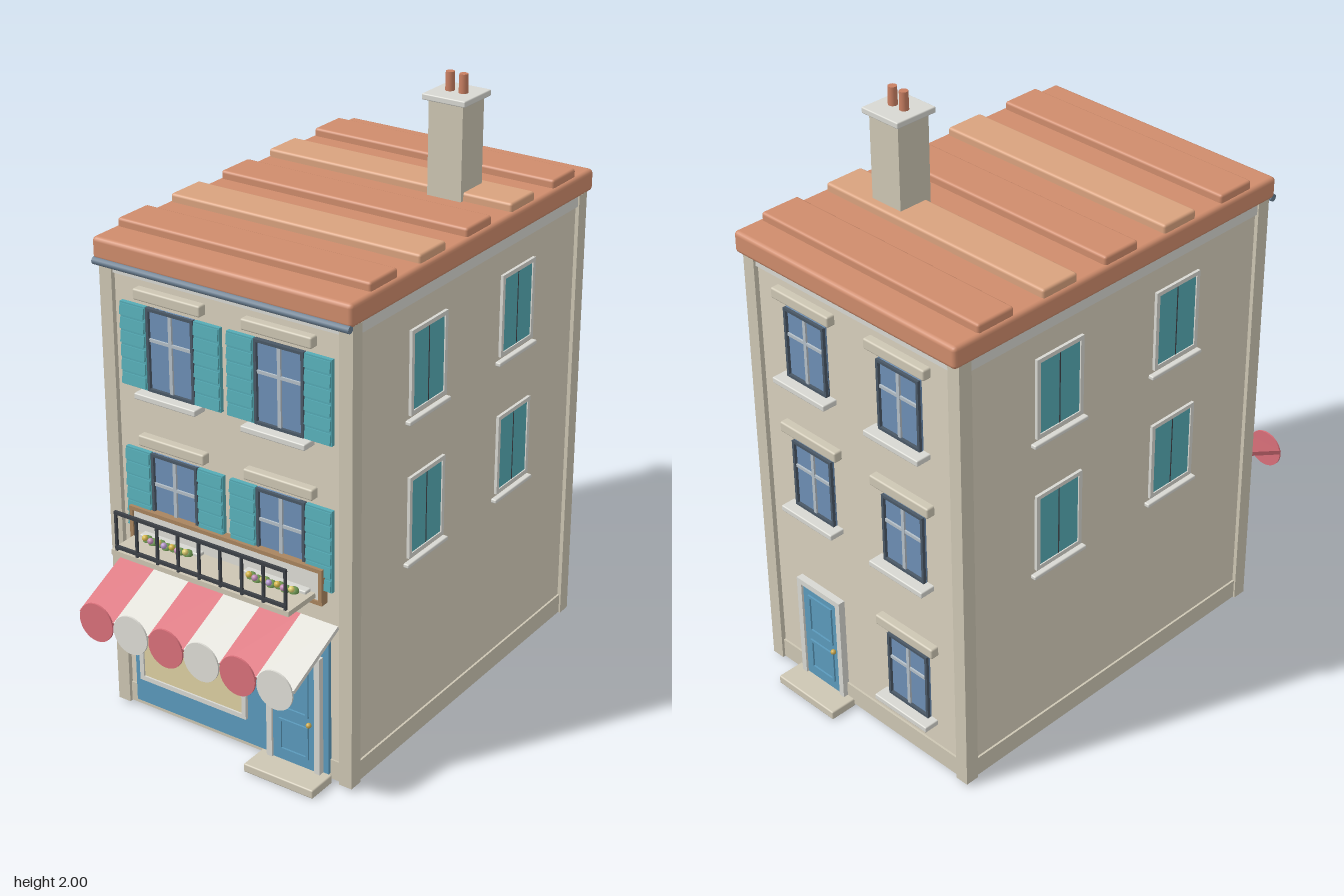
import * as THREE from 'three';
import { RoundedBoxGeometry } from 'three/addons/geometries/RoundedBoxGeometry.js';

const mats = {};
const paint = (hex) => (mats[hex] ??= new THREE.MeshStandardMaterial({ color: hex }));

const WALL = 0xd8d0bd, STONE = 0xcdc6b3, TRIM = 0xd8d8d2, TEAL = 0x55abb5, GLASS = 0x6d8fb5,
  SLATE = 0x4a5866, BLUE = 0x5b9abc, CREAM = 0xddd0a2, ROOF = 0xcf8c6c, TILE = 0xd9a27e,
  RED = 0xd9707a, WHITE = 0xdeddd6, WOOD = 0xa9855f, IRON = 0x3c4046, GREEN = 0x6f9a52;

function add(parent, name, geometry, color, x = 0, y = 0, z = 0) {
  const m = new THREE.Mesh(geometry, paint(color));
  m.name = name;
  m.position.set(x, y, z);
  parent.add(m);
  return m;
}

// Box given by its minimum and maximum on each axis; r rounds its edges
function box(parent, name, color, [x0, x1], [y0, y1], [z0, z1], r = 0) {
  const s = [x1 - x0, y1 - y0, z1 - z0];
  const g = r ? new RoundedBoxGeometry(...s, 2, r) : new THREE.BoxGeometry(...s);
  return add(parent, name, g, color, (x0 + x1) / 2, (y0 + y1) / 2, (z0 + z1) / 2);
}

function group(parent, name, x = 0, y = 0, z = 0, turn = 0) {
  const g = new THREE.Group();
  g.name = name;
  g.position.set(x, y, z);
  g.rotation.y = turn;
  parent.add(g);
  return g;
}

// Four bars around a w x h opening, standing on y = 0
function frame(parent, name, color, w, h, t, depth) {
  for (const s of [-1, 1]) {
    const a = s * w / 2, b = s * (w / 2 - t);
    box(parent, name, color, [Math.min(a, b), Math.max(a, b)], [0, h], [0, depth]);
  }
  box(parent, name, color, [-w / 2 + t, w / 2 - t], [0, t], [0, depth]);
  box(parent, name, color, [-w / 2 + t, w / 2 - t], [h - t, h], [0, depth]);
}

// Paned window with sill and lintel
function paneWindow(wall, x, y, h, sillOut) {
  const w = 0.175, g = group(wall, 'window', x, y);
  box(g, 'glass', GLASS, [-w / 2, w / 2], [0, h], [-0.01, 0.006]);
  frame(g, 'windowFrame', SLATE, w, h, 0.009, 0.016);
  box(g, 'mullion', 0xb4bfc8, [-0.006, 0.006], [0.009, h - 0.009], [0, 0.013]);
  box(g, 'transom', 0xb4bfc8, [-w / 2 + 0.009, w / 2 - 0.009], [h * 0.6, h * 0.6 + 0.01], [0, 0.012]);
  box(g, 'sill', TRIM, [-0.115, 0.115], [-0.02, 0], [-0.01, sillOut], 0.004);
  box(g, 'lintel', STONE, [-0.125, 0.125], [h + 0.022, h + 0.058], [-0.01, 0.028], 0.006);
  return g;
}

// Open louvred shutter
function shutter(parent, x, h) {
  const g = group(parent, 'shutter', x);
  box(g, 'shutterBoard', TEAL, [-0.047, 0.047], [0, h], [0, 0.014]);
  const n = 6, step = h / n;
  for (let i = 0; i < n; i++) {
    const slat = box(g, 'slat', TEAL, [-0.045, 0.045], [i * step + 0.005, (i + 1) * step - 0.005], [0.012, 0.02]);
    slat.rotation.x = -0.12;
  }
}

// Closed pair of shutters in a pale surround
function sideWindow(wall, x, y) {
  const h = 0.245, g = group(wall, 'sideWindow', x, y);
  for (const s of [-1, 1])
    box(g, 'closedShutter', TEAL, [s * 0.042 - 0.041, s * 0.042 + 0.041], [0, h], [-0.01, 0.006]);
  box(g, 'shutterGap', IRON, [-0.002, 0.002], [0, h], [0, 0.007]);
  const surround = group(g, 'surround', 0, -0.014);
  frame(surround, 'surroundBar', TRIM, 0.195, h + 0.028, 0.014, 0.01);
  box(g, 'sill', TRIM, [-0.113, 0.113], [-0.04, -0.026], [-0.01, 0.018], 0.004);
}

// Panelled door with surround, knob and step
function door(wall, x, h, stepOut) {
  const g = group(wall, 'door', x, 0.03), w = 0.16;
  box(g, 'doorLeaf', BLUE, [-w / 2, w / 2], [0, h], [0, 0.016]);
  for (const s of [-1, 1])
    box(g, 'doorJamb', TRIM, [s * 0.09 - 0.01, s * 0.09 + 0.01], [0, h + 0.02], [0, 0.024]);
  box(g, 'doorHead', TRIM, [-0.08, 0.08], [h, h + 0.02], [0, 0.024]);
  for (const [y, ph] of [[0.035, 0.115], [0.185, h - 0.215]]) {
    const panel = group(g, 'doorPanel', 0, y, 0.014);
    frame(panel, 'panelMoulding', BLUE, 0.11, ph, 0.009, 0.008);
  }
  add(g, 'knob', new THREE.SphereGeometry(0.009, 12, 8), 0xc9a850, 0.06, 0.165, 0.024);
  box(g, 'doorStep', STONE, [-0.13, 0.13], [-0.03, 0], [0, stepOut], 0.005);
}

export function createModel() {
  const model = new THREE.Group();
  model.name = 'townhouse';

  // Body, plinth, corner posts and cornice
  box(model, 'walls', WALL, [-0.443, 0.443], [0.012, 1.545], [-0.72, 0.575]);
  box(model, 'plinth', STONE, [-0.45, 0.45], [0.012, 0.08], [-0.727, 0.58]);
  box(model, 'cornice', TRIM, [-0.451, 0.451], [1.502, 1.54], [-0.728, 0.584]);
  for (const x of [-0.433, 0.433])
    for (const z of [-0.712, 0.567])
      box(model, 'cornerPost', STONE, [x - 0.023, x + 0.023], [0.01, 1.54], [z - 0.024, z + 0.024]);

  // Roof slab with raised tile courses, gutter along the front
  box(model, 'roof', ROOF, [-0.465, 0.465], [1.54, 1.613], [-0.76, 0.61], 0.014);
  for (let i = 0; i < 5; i++) {
    const z = -0.59 + i * 0.255;
    box(model, 'tileCourse', i % 2 ? TILE : ROOF, [-0.455, 0.453], [1.595, 1.64], [z - 0.07, z + 0.07], 0.009);
  }
  const gutter = add(model, 'gutter', new THREE.CylinderGeometry(0.012, 0.012, 0.92, 12), 0x6b7f92, 0, 1.538, 0.608);
  gutter.rotation.z = Math.PI / 2;

  // Chimney
  const chimney = group(model, 'chimney', 0.22, 0, -0.312);
  box(chimney, 'stack', STONE, [-0.061, 0.061], [1.6, 1.925], [-0.061, 0.061]);
  box(chimney, 'chimneyCap', TRIM, [-0.077, 0.077], [1.92, 1.94], [-0.077, 0.077], 0.004);
  for (const x of [-0.024, 0.024])
    add(chimney, 'chimneyPot', new THREE.CylinderGeometry(0.014, 0.015, 0.07, 16), 0xc97f62, x, 1.965, 0);

  // Each wall group has x along the wall and z pointing outward
  const front = group(model, 'frontWall', 0, 0, 0.575);
  const back = group(model, 'backWall', 0, 0, -0.72, Math.PI);
  const sides = [1, -1].map((s) => group(model, 'sideWall', s * 0.443, 0, 0, s * Math.PI / 2));

  for (const x of [-0.198, 0.198])
    for (const y of [0.67, 1.15]) {
      const win = paneWindow(front, x, y, 0.27, 0.05);
      for (const s of [-1, 1]) shutter(win, s * 0.138, 0.27);
    }
  for (const [x, y] of [[-0.2, 1.175], [0.2, 1.175], [-0.2, 0.7], [0.2, 0.7], [0.2, 0.175]])
    paneWindow(back, x, y, 0.24, 0.052);
  door(back, -0.2, 0.36, 0.1);
  sides.forEach((wall, i) => {
    for (const z of [0.183, -0.328])
      for (const y of [0.68, 1.158]) sideWindow(wall, i ? z : -z, y);
  });

  // Shop front
  const shop = group(front, 'shopFront');
  box(shop, 'shopPanel', BLUE, [-0.38, 0.37], [0.03, 0.54], [-0.01, 0.014]);
  const display = group(shop, 'displayWindow', -0.145, 0.12, 0.012);
  box(display, 'displayGlass', CREAM, [-0.2, 0.2], [0.01, 0.31], [0, 0.008]);
  frame(display, 'displayFrame', TRIM, 0.42, 0.32, 0.016, 0.014);
  door(group(shop, 'shopEntrance', 0, 0, 0.01), 0.25, 0.39, 0.105);

  // Sign board without lettering
  const sign = group(front, 'signBoard', -0.005, 0.625);
  box(sign, 'signFace', WHITE, [-0.355, 0.355], [0.005, 0.115], [0.012, 0.024]);
  frame(sign, 'signFrame', WOOD, 0.725, 0.12, 0.013, 0.03);

  // Sloping striped awning with round scallops
  const awning = group(model, 'awning');
  const length = 0.25, slope = Math.atan2(0.105, 0.225), w = 0.135;
  for (let i = 0; i < 6; i++) {
    const x = (i - 2.5) * w, color = i % 2 ? WHITE : RED;
    const strip = add(awning, 'awningStripe', new THREE.BoxGeometry(w, 0.014, length), color, x, 0.507, 0.7);
    strip.rotation.x = slope;
    const disc = add(awning, 'scallop', new THREE.CylinderGeometry(0.065, 0.065, 0.006, 32), color, x, 0.44, 0.816);
    disc.rotation.x = Math.PI / 2;
  }

  // Balcony slab and railing
  const balcony = group(model, 'balcony');
  box(balcony, 'balconySlab', STONE, [-0.335, 0.33], [0.643, 0.66], [0.57, 0.735]);
  for (const y of [0.672, 0.79])
    box(balcony, 'rail', IRON, [-0.32, 0.32], [y - 0.005, y + 0.005], [0.724, 0.734]);
  for (let i = 0; i < 9; i++) {
    const x = (i - 4) * 0.079;
    box(balcony, 'baluster', IRON, [x - 0.004, x + 0.004], [0.655, 0.79], [0.725, 0.733]);
  }

  // Flower boxes with a row of blooms
  const blooms = [0xd7b94a, 0xc48fb8, 0xe0d070, 0xb79ad0];
  for (const x of [-0.198, 0.198]) {
    const planter = group(model, 'flowerBox', x, 0, 0.636);
    box(planter, 'planter', WOOD, [-0.095, 0.095], [0.608, 0.655], [-0.026, 0.026]);
    for (let i = 0; i < 7; i++) {
      const fx = (i - 3) * 0.026;
      add(planter, 'leaves', new THREE.SphereGeometry(0.016, 10, 8), GREEN, fx, 0.662, -0.006 + 0.006 * (i % 2));
      add(planter, 'bloom', new THREE.SphereGeometry(0.01, 10, 8), blooms[i % 4], fx, 0.676, 0.008 + 0.006 * (i % 2));
    }
  }
  return model;
}
